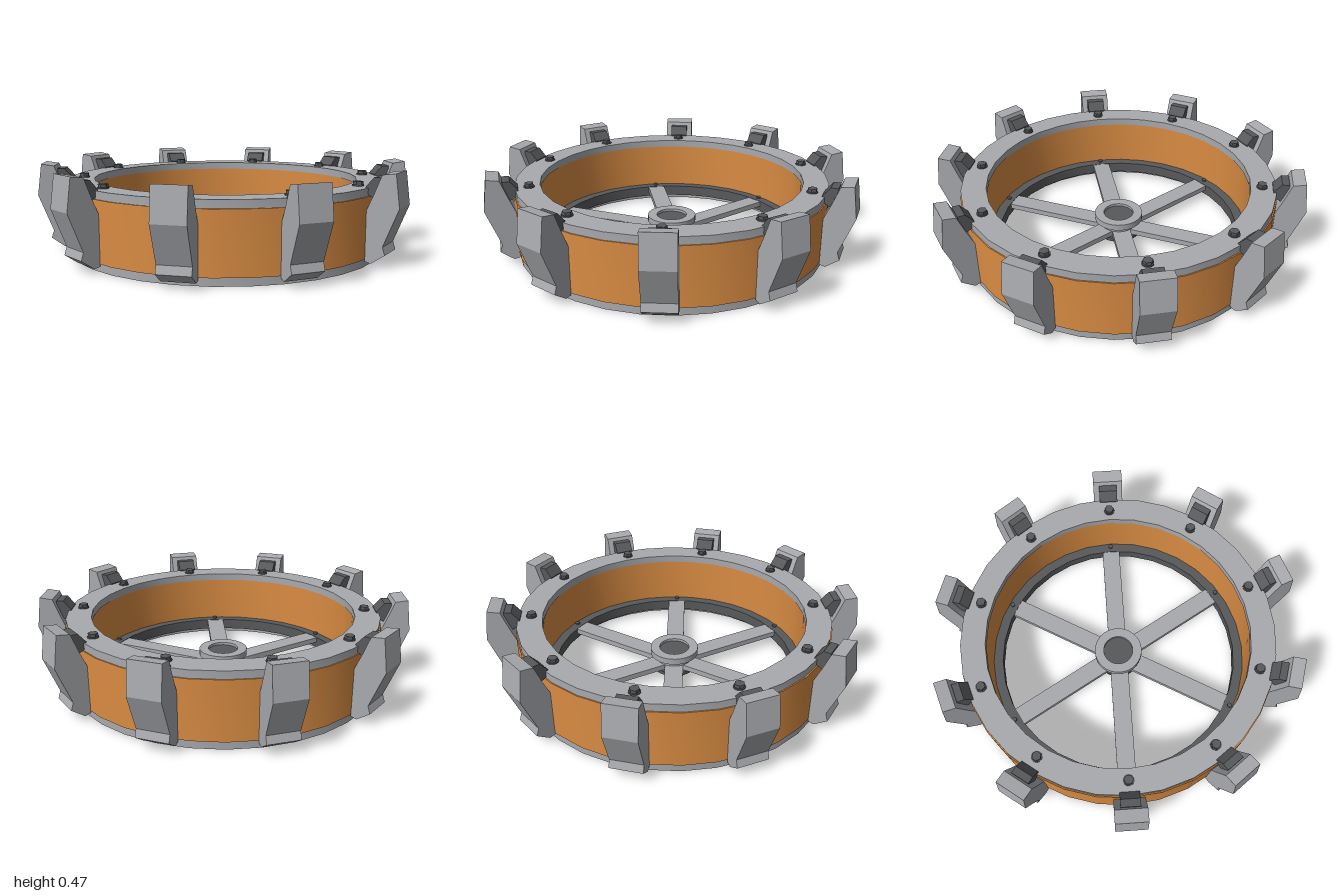
import * as THREE from 'three';
import { toCreasedNormals } from 'three/addons/utils/BufferGeometryUtils.js';

const mat = (name, color) => {
  const m = new THREE.MeshStandardMaterial({ color });
  m.name = name;
  return m;
};

export function createModel() {
  const steel = mat('steel grey', 0xa8aaae);
  const orange = mat('orange', 0xd98c43);
  const dark = mat('dark grey', 0x58595b);
  const wheel = new THREE.Group();
  wheel.name = 'paddleWheel';

  const add = (parent, name, geometry, material) => {
    const mesh = new THREE.Mesh(geometry, material);
    mesh.name = name;
    parent.add(mesh);
    return mesh;
  };
  // Solid turned from a profile listed outer side first, bottom to top
  const turned = (points, segments = 32) => toCreasedNormals(
    new THREE.LatheGeometry(points.map(p => new THREE.Vector2(...p)), segments), 0.6);
  const ring = (inner, outer, y0, y1) => turned(
    [[inner, y0], [outer, y0], [outer, y1], [inner, y1], [inner, y0]]);
  // Bar whose (radius, height) outline is extruded sideways
  const extruded = (outline, width) => new THREE.ExtrudeGeometry(
    new THREE.Shape(outline.map(p => new THREE.Vector2(...p))),
    { depth: width, bevelEnabled: false }).translate(0, 0, -width / 2);

  // Rim
  add(wheel, 'bottomRing', ring(0.7, 0.84, 0, 0.04), steel);
  add(wheel, 'rimBand', ring(0.712, 0.846, 0.04, 0.345), orange);
  add(wheel, 'topRing', ring(0.708, 0.84, 0.345, 0.385), steel);
  add(wheel, 'spokeRing', ring(0.66, 0.713, 0.03, 0.09), dark);

  // Hub with a recessed centre
  add(wheel, 'hub', turned([
    [0, 0.05], [0.1, 0.05], [0.1, 0.12], [0.132, 0.12], [0.132, 0.155],
    [0.082, 0.155], [0.082, 0.135], [0, 0.135]]), steel);
  add(wheel, 'hubRecess', new THREE.CylinderGeometry(0.081, 0.081, 0.006, 32).translate(0, 0.138, 0), dark);
  add(wheel, 'hubBase', new THREE.CylinderGeometry(0.12, 0.12, 0.02, 32).translate(0, 0.045, 0), dark);

  // Six spokes with their end rivets
  const spokeGeo = new THREE.BoxGeometry(0.59, 0.03, 0.1).translate(0.37, 0.073, 0);
  const rivetGeo = new THREE.CylinderGeometry(0.013, 0.013, 0.012, 10).translate(0.692, 0.093, 0);
  for (let i = 0; i < 6; i++) {
    const group = new THREE.Group();
    group.name = 'spokeAssembly';
    group.rotation.y = i * Math.PI / 3;
    add(group, 'spoke', spokeGeo, steel);
    add(group, 'spokeRivet', rivetGeo, dark);
    wheel.add(group);
  }

  // Ten paddles, each with a clip and a hex bolt
  const paddleGeo = extruded([
    [0.84, 0.03], [0.87, 0.022], [0.938, 0.07], [0.925, 0.11], [1.0, 0.3],
    [0.978, 0.465], [0.912, 0.455], [0.875, 0.36], [0.84, 0.28]], 0.164);
  const clipGeo = extruded([
    [0.822, 0.36], [0.875, 0.33], [0.9, 0.4], [0.9, 0.437], [0.862, 0.437], [0.822, 0.39]], 0.1);
  const washerGeo = new THREE.CylinderGeometry(0.029, 0.029, 0.006, 16).translate(0.765, 0.388, 0);
  const boltGeo = new THREE.CylinderGeometry(0.025, 0.025, 0.018, 6).toNonIndexed();
  boltGeo.computeVertexNormals();
  boltGeo.translate(0.765, 0.398, 0);
  for (let i = 0; i < 10; i++) {
    const group = new THREE.Group();
    group.name = 'paddleAssembly';
    group.rotation.y = i * Math.PI / 5;
    add(group, 'paddle', paddleGeo, steel);
    add(group, 'paddleClip', clipGeo, dark);
    add(group, 'boltWasher', washerGeo, dark);
    add(group, 'bolt', boltGeo, dark);
    wheel.add(group);
  }
  return wheel;
}
